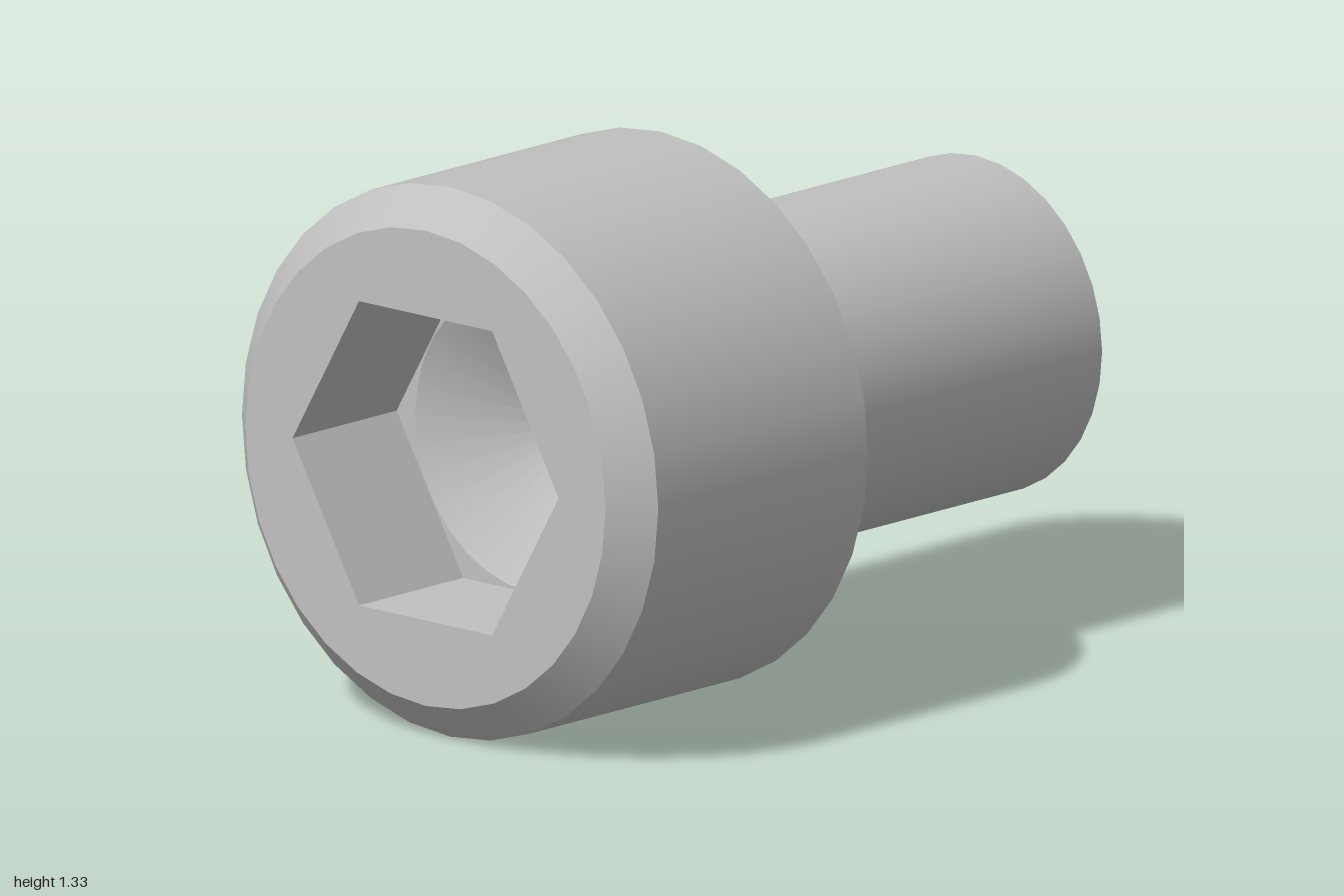
import * as THREE from 'three';

export function createModel() {
  const model = new THREE.Group();
  const steel = new THREE.MeshStandardMaterial({ color: 0xc0c0c0 });
  steel.name = 'steel grey';

  const SIDES = 32;
  const HEAD_R = 0.665, FACE_R = 0.575, SHANK_R = 0.405, TIP_R = 0.305, FILLET = 0.07;
  const HEX_R = 0.425, BORE_R = HEX_R * Math.cos(Math.PI / 6);
  const FACE_X = -1, SHOULDER_X = -0.19, FLOOR_X = -0.64;

  const add = (name, geometry) => {
    const mesh = new THREE.Mesh(geometry, steel);
    mesh.name = name;
    mesh.position.y = HEAD_R;
    model.add(mesh);
  };

  // Surface turned about the x axis from [radius, x] points
  const turned = (points, sides = SIDES) =>
    new THREE.LatheGeometry(points.map(([r, x]) => new THREE.Vector2(r, x)), sides)
      .rotateZ(-Math.PI / 2);

  const ring = (radius, sides) => Array.from({ length: sides }, (_, i) => {
    const a = (i / sides) * Math.PI * 2;
    return new THREE.Vector2(Math.cos(a) * radius, Math.sin(a) * radius);
  });

  // Flat plate facing -x with a central hole
  const plate = (outer, hole, x) => {
    const shape = new THREE.Shape(outer);
    shape.holes.push(new THREE.Path(hole));
    return new THREE.ShapeGeometry(shape).rotateY(-Math.PI / 2).translate(x, 0, 0);
  };

  // Head: separate surfaces keep the edges sharp
  add('headFace', plate(ring(FACE_R, SIDES), ring(HEX_R, 6), FACE_X));
  add('headChamfer', turned([[FACE_R, FACE_X], [HEAD_R, -0.915]]));
  add('headSide', turned([[HEAD_R, -0.915], [HEAD_R, SHOULDER_X]]));
  add('headShoulder', turned([[HEAD_R, SHOULDER_X], [SHANK_R + FILLET, SHOULDER_X]]));

  // Concave fillet running smoothly into the shank
  const shank = [];
  for (let i = 0; i <= 8; i++) {
    const a = (i / 8) * Math.PI / 2;
    shank.push([
      SHANK_R + FILLET * (1 - Math.sin(a)),
      SHOULDER_X + FILLET * (1 - Math.cos(a)),
    ]);
  }
  shank.push([SHANK_R, 0.9]);
  add('shank', turned(shank));
  add('tipChamfer', turned([[SHANK_R, 0.9], [TIP_R, 1]]));
  add('tipFace', turned([[TIP_R, 1], [0, 1]]));

  // Hexagonal socket with a conical bottom
  const walls = turned([[HEX_R, FLOOR_X], [HEX_R, FACE_X]], 6).toNonIndexed();
  walls.computeVertexNormals();
  add('socketWalls', walls);
  add('socketFloor', plate(ring(HEX_R, 6), ring(BORE_R - 0.002, SIDES), FLOOR_X));
  add('socketCone', turned([[0, FLOOR_X + 0.21], [BORE_R - 0.002, FLOOR_X]]));

  return model;
}
